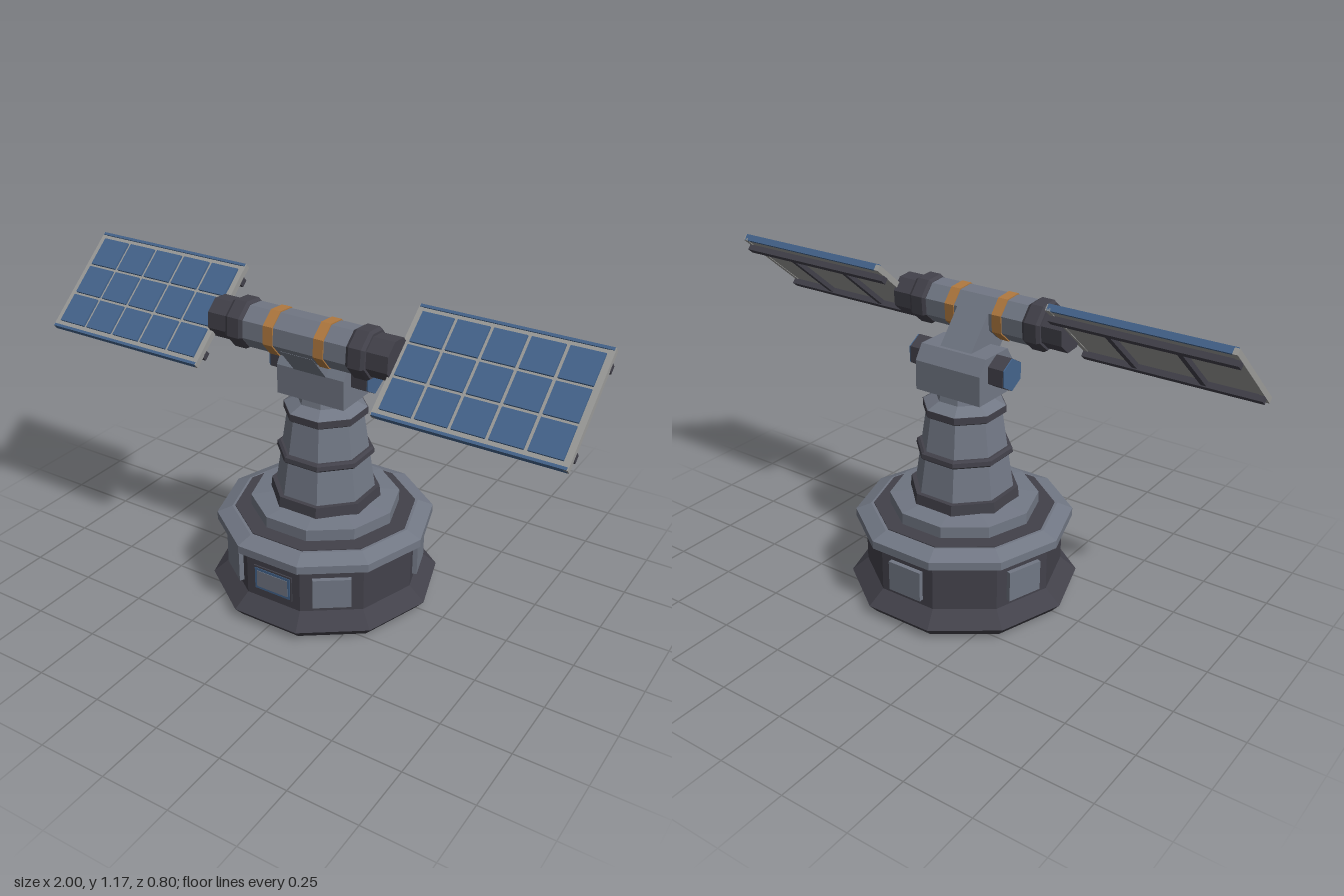
import * as THREE from 'three';

const mat = (name, color) => {
  const m = new THREE.MeshStandardMaterial({ color });
  m.name = name;
  return m;
};

export function createModel() {
  const dark = mat('dark grey', 0x42414a);
  const steel = mat('steel grey', 0x717784);
  const frame = mat('light grey', 0x9a9a98);
  const blue = mat('cell blue', 0x44648c);
  const orange = mat('orange', 0xb0793f);

  // Adds a faceted mesh to a parent
  const add = (parent, name, geo, material, x = 0, y = 0, z = 0) => {
    const g = geo.index ? geo.toNonIndexed() : geo;
    g.computeVertexNormals();
    const mesh = new THREE.Mesh(g, material);
    mesh.name = name;
    mesh.position.set(x, y, z);
    parent.add(mesh);
    return mesh;
  };
  const box = (w, h, d) => new THREE.BoxGeometry(w, h, d);

  // Closed prism from [apothem, height] pairs, with flats facing the z axis
  const prism = (sides, profile) => {
    const k = 1 / Math.cos(Math.PI / sides);
    const pts = profile.map(([r, y]) => new THREE.Vector2(r * k, y));
    pts.unshift(new THREE.Vector2(0, profile[0][1]));
    pts.push(new THREE.Vector2(0, profile[profile.length - 1][1]));
    return new THREE.LatheGeometry(pts, sides, Math.PI / sides);
  };
  const sideways = (sides, profile) => prism(sides, profile).rotateZ(-Math.PI / 2);

  const model = new THREE.Group();
  model.name = 'solarTurret';

  // Ten-sided base
  add(model, 'baseBody', prism(10, [[0.37, 0], [0.4, 0.035], [0.343, 0.087], [0.343, 0.245], [0.378, 0.267]]), dark);
  add(model, 'baseDeck', prism(10, [[0.378, 0.267], [0.378, 0.297], [0.325, 0.32]]), steel);
  add(model, 'deckInset', prism(10, [[0.315, 0.316], [0.315, 0.323]]), dark);
  add(model, 'baseTier', prism(10, [[0.258, 0.32], [0.258, 0.366], [0.18, 0.376]]), steel);

  // Access panels on every second side of the base
  for (let i = 0; i < 5; i++) {
    const a = Math.PI + (i * Math.PI * 2) / 5;
    const panel = add(model, 'basePanel', box(0.136, 0.115, 0.03), steel,
      Math.sin(a) * 0.345, 0.167, Math.cos(a) * 0.345);
    panel.rotation.y = a;
  }
  // Front hatch
  add(model, 'hatchFrame', box(0.16, 0.1, 0.008), dark, 0, 0.167, 0.344);
  add(model, 'hatchTrim', box(0.148, 0.086, 0.008), blue, 0, 0.167, 0.346);
  add(model, 'hatchPlate', box(0.128, 0.066, 0.008), steel, 0, 0.167, 0.348);

  // Octagonal tapering column with collars
  add(model, 'column', prism(8, [[0.167, 0.37], [0.167, 0.415], [0.126, 0.71]]), steel);
  add(model, 'lowerCollar', prism(8, [[0.187, 0.372], [0.183, 0.414]]), dark);
  add(model, 'middleCollar', prism(8, [[0.157, 0.543], [0.164, 0.55], [0.162, 0.566], [0.153, 0.572]]), dark);
  add(model, 'upperCollar', prism(8, [[0.132, 0.697], [0.14, 0.703], [0.14, 0.728]]), dark);
  add(model, 'columnCap', prism(8, [[0.138, 0.728], [0.095, 0.752], [0.088, 0.785]]), steel);

  // Yoke with chamfered top
  const side = new THREE.Shape([[-0.1, 0.777], [0.1, 0.777], [0.1, 0.885], [0.065, 0.938], [-0.065, 0.938], [-0.1, 0.885]]
    .map(([x, y]) => new THREE.Vector2(x, y)));
  const yoke = new THREE.ExtrudeGeometry(side, { depth: 0.27, bevelEnabled: false });
  yoke.translate(0, 0, -0.135).rotateY(Math.PI / 2);
  add(model, 'yoke', yoke, steel);

  // Hexagonal pivots on both sides of the yoke
  for (const s of [-1, 1]) {
    add(model, 'pivot', sideways(6, [[0.052, -0.0325], [0.052, 0.0325]]), dark, s * 0.163, 0.877, 0);
    add(model, 'pivotCap', sideways(6, [[0.051, -0.003], [0.051, 0.003]]), blue, s * 0.197, 0.877, 0);
  }

  // Tilted head: local y is the panel normal
  const head = new THREE.Group();
  head.name = 'head';
  head.position.set(0, 1.028, 0.125);
  head.rotation.x = THREE.MathUtils.degToRad(40.5);
  model.add(head);
  add(head, 'arm', box(0.13, 0.19, 0.15), steel, 0, -0.095, 0);
  add(head, 'barrel', sideways(8, [[0.074, -0.22], [0.074, 0.22]]), steel);

  for (const s of [-1, 1]) {
    add(head, 'barrelBand', sideways(8, [[0.078, -0.019], [0.078, 0.019]]), orange, s * 0.099, 0, 0);
    add(head, 'barrelCollar', sideways(8, [[0.076, -0.035], [0.083, -0.023], [0.083, 0.023], [0.076, 0.035]]), dark, s * 0.238, 0, 0);
    add(head, 'panelMount', sideways(8, [[0.068, -0.045], [0.068, 0.045]]), dark, s * 0.307, 0, 0);

    // Solar wing
    const wing = new THREE.Group();
    wing.name = s > 0 ? 'leftWing' : 'rightWing';
    wing.position.set(s * 0.672, -0.004, 0);
    head.add(wing);
    add(wing, 'wingPlate', box(0.65, 0.018, 0.396), frame);
    for (const e of [-1, 1]) {
      add(wing, 'endBar', box(0.018, 0.022, 0.41), frame, e * 0.319, 0, 0);
      add(wing, 'edgeStrip', box(0.648, 0.024, 0.01), blue, 0, 0.002, e * 0.2);
      add(wing, 'rail', box(0.656, 0.022, 0.028), dark, 0, -0.02, e * 0.15);
      add(wing, 'crossBar', box(0.02, 0.018, 0.3), dark, e * 0.125, -0.018, 0);
    }
    // Five by three cells
    for (let c = -2; c <= 2; c++) {
      for (let r = -1; r <= 1; r++) {
        add(wing, 'cell', box(0.112, 0.009, 0.112), blue, c * 0.125, 0.0125, r * 0.123);
      }
    }
  }
  return model;
}
